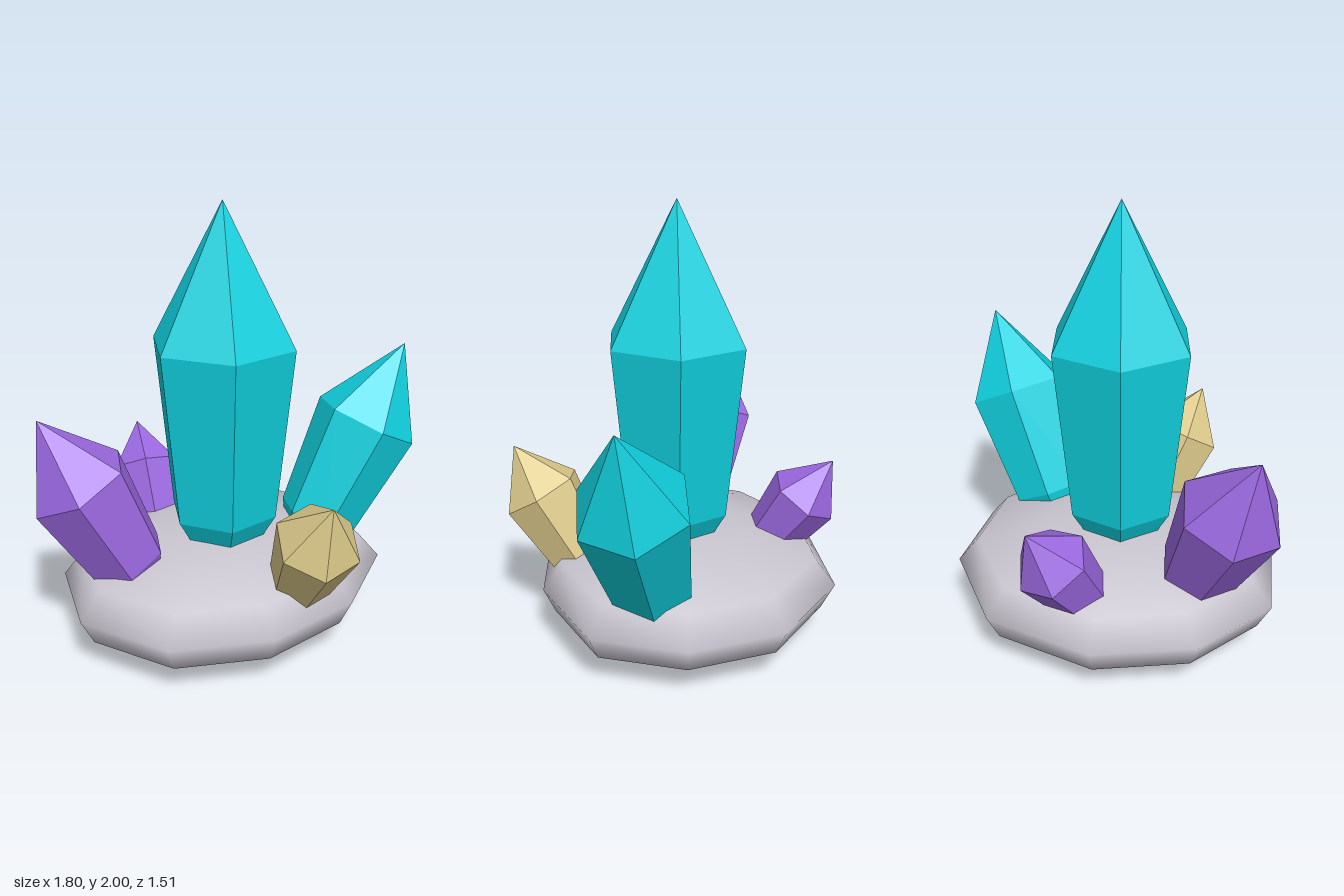
import * as THREE from 'three';
import { mergeVertices } from 'three/addons/utils/BufferGeometryUtils.js';

const UP = new THREE.Vector3(0, 1, 0);

// Six-sided crystal: narrow root, widening shaft, pointed cap.
// shoulder = centre of the widest ring, tip = point, radius = widest radius.
function crystal(name, material, shoulder, tip, radius) {
  const centre = new THREE.Vector3(...shoulder);
  const axis = new THREE.Vector3(...tip).sub(centre);
  const cap = axis.length();
  const profile = [
    [0, -1.53], [0.52, -1.53], [0.76, -1.3], [1, 0], [0, 1],
  ].map(([r, h]) => new THREE.Vector2(r * radius, h * cap));
  const mesh = new THREE.Mesh(new THREE.LatheGeometry(profile, 6, Math.PI / 2), material);
  mesh.name = name;
  mesh.position.copy(centre);
  mesh.quaternion.setFromUnitVectors(UP, axis.normalize());
  return mesh;
}

// Smooth, slightly irregular flattened boulder
function rockBase(material) {
  const outline = [
    [0.72, -0.02], [0.6, -0.44], [0.21, -0.73], [-0.3, -0.7], [-0.67, -0.43],
    [-0.83, -0.02], [-0.66, 0.39], [-0.27, 0.61], [0.19, 0.61], [0.6, 0.39],
  ];
  const rows = [[0, 0], [0.56, 0.05], [0.92, 0.155], [1, 0.28], [0.87, 0.4], [0.43, 0.48], [0, 0.495]];
  const cx = -0.045, cz = -0.04;
  const lathe = new THREE.LatheGeometry(
    rows.map(([r, y]) => new THREE.Vector2(r, y)), outline.length, Math.PI / 2);
  const pos = lathe.attributes.position;
  // Push every ring out to the irregular outline
  for (let k = 0; k < pos.count; k++) {
    const [x, z] = outline[Math.floor(k / rows.length) % outline.length];
    const [s, y] = rows[k % rows.length];
    pos.setXYZ(k, cx + (x - cx) * s, y, cz + (z - cz) * s);
  }
  lathe.deleteAttribute('uv');
  lathe.deleteAttribute('normal');
  const geometry = mergeVertices(lathe);
  geometry.computeVertexNormals();
  const mesh = new THREE.Mesh(geometry, material);
  mesh.name = 'rockBase';
  return mesh;
}

export function createModel() {
  const make = (name, color, flatShading) => {
    const m = new THREE.MeshStandardMaterial({ color, flatShading });
    m.name = name;
    return m;
  };
  const teal = make('teal', 0x10d0de, true);
  const purple = make('purple', 0x9b68e0, true);
  const sand = make('sand', 0xdcc98a, true);
  const stone = make('stone', 0xc9c5cf, false);

  const group = new THREE.Group();
  group.name = 'crystalCluster';
  group.add(
    rockBase(stone),
    crystal('centreCrystal', teal, [-0.045, 1.385, -0.01], [-0.045, 2, -0.01], 0.335),
    crystal('leftCrystal', teal, [0.67, 0.915, 0.2], [0.85, 1.28, 0.26], 0.25),
    crystal('rightCrystal', purple, [-0.69, 0.83, -0.21], [-0.83, 1.135, -0.28], 0.235),
    crystal('frontCrystal', sand, [-0.045, 0.667, 0.615], [-0.09, 0.88, 0.74], 0.19),
    crystal('backCrystal', purple, [-0.07, 0.61, -0.62], [-0.03, 0.8, -0.74], 0.17),
  );
  return group;
}
